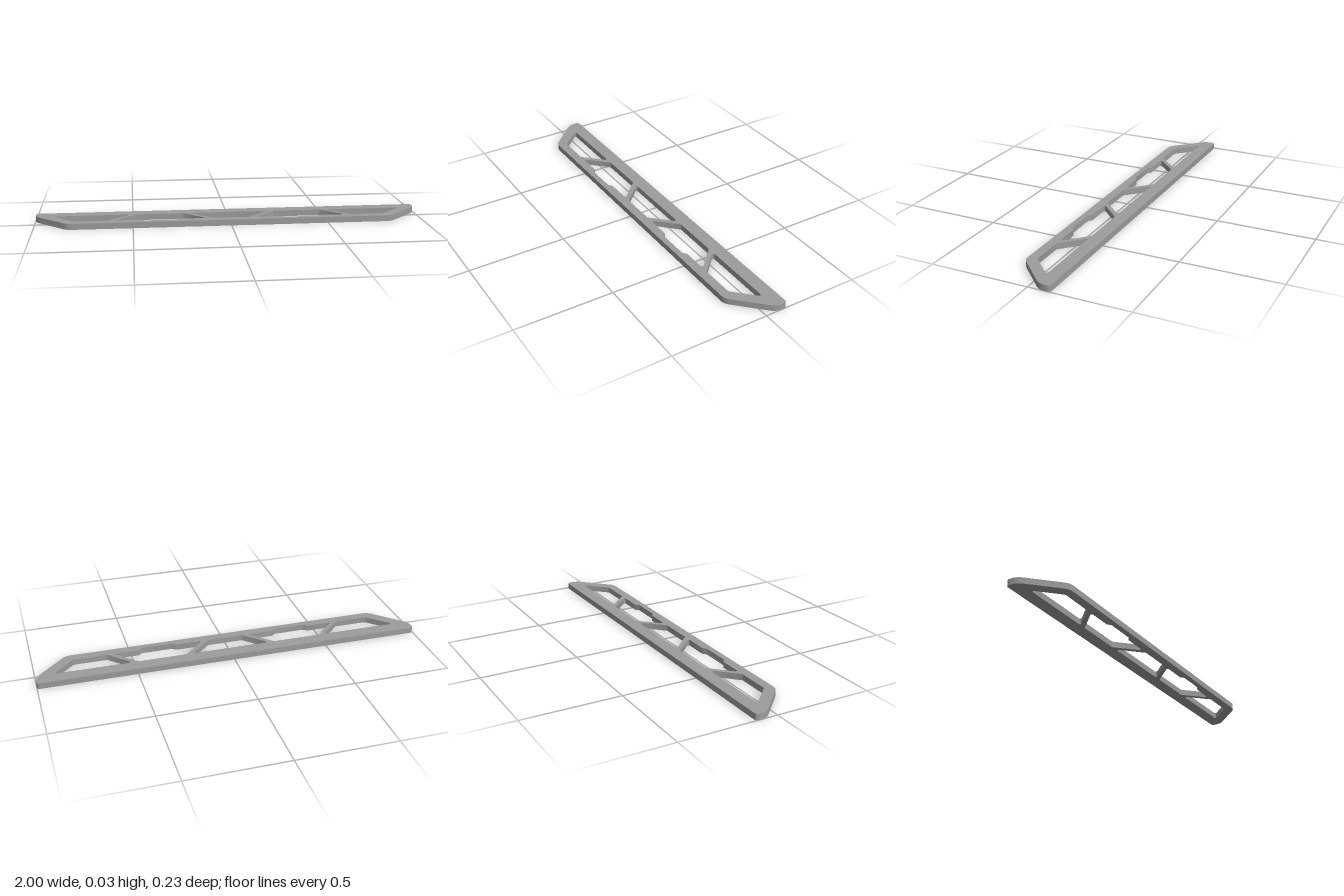
import * as THREE from 'three';
import { toCreasedNormals } from 'three/addons/utils/BufferGeometryUtils.js';

const HEIGHT = 0.031;
const HALF_DEPTH = 0.113;
const BACK = -0.045, FRONT = 0.067, NOTCH = 0.083; // z of the opening edges

// Closed outline with filleted corners; points are [x, z, radius]
function roundedOutline(points, target) {
  const n = points.length;
  const P = points.map(([x, z]) => new THREE.Vector2(x, -z));
  P.forEach((p, i) => {
    const a = P[(i + n - 1) % n].clone().sub(p).normalize();
    const b = P[(i + 1) % n].clone().sub(p).normalize();
    const half = Math.acos(THREE.MathUtils.clamp(a.dot(b), -1, 1)) / 2;
    const r = points[i][2] ?? 0.008;
    const t = r / Math.tan(half);
    const start = p.clone().addScaledVector(a, t);
    const end = p.clone().addScaledVector(b, t);
    const c = p.clone().addScaledVector(a.clone().add(b).normalize(), r / Math.sin(half));
    const a0 = Math.atan2(start.y - c.y, start.x - c.x);
    let sweep = Math.atan2(end.y - c.y, end.x - c.x) - a0;
    sweep = Math.atan2(Math.sin(sweep), Math.cos(sweep));
    for (let k = 0; k <= 6; k++) {
      const ang = a0 + sweep * k / 6;
      const x = c.x + r * Math.cos(ang), y = c.y + r * Math.sin(ang);
      if (i === 0 && k === 0) target.moveTo(x, y);
      else target.lineTo(x, y);
    }
  });
  target.closePath();
  return target;
}

const mirror = pts => pts.map(([x, z, r]) => [-x, z, r]).reverse();

export function createModel() {
  const group = new THREE.Group();

  // Outer trapezoid with blunt ends
  const leftHalf = [[-1, -HALF_DEPTH, 0.015], [-1, -0.056, 0.07], [-0.831, HALF_DEPTH, 0.06]];
  const outline = roundedOutline([...leftHalf, ...mirror(leftHalf)], new THREE.Shape());

  // Openings, leaving thin diagonal struts between them
  const endHole = [[-0.912, BACK], [-0.8, FRONT, 0.02], [-0.627, FRONT], [-0.515, BACK]];
  const notchedHole = [
    [-0.483, BACK], [-0.595, FRONT],
    [-0.462, FRONT, 0.006], [-0.442, NOTCH, 0.006],
    [-0.284, NOTCH, 0.006], [-0.264, FRONT, 0.006],
    [-0.125, FRONT], [-0.237, BACK],
  ];
  const middleHole = [[-0.205, BACK], [-0.093, FRONT], [0.093, FRONT], [0.205, BACK]];
  for (const hole of [endHole, notchedHole, middleHole, mirror(notchedHole), mirror(endHole)]) {
    outline.holes.push(roundedOutline(hole, new THREE.Path()));
  }

  // Flat plate lying on the ground
  const plate = new THREE.ExtrudeGeometry(outline, { depth: HEIGHT, bevelEnabled: false });
  plate.rotateX(-Math.PI / 2);
  const mesh = new THREE.Mesh(
    toCreasedNormals(plate, Math.PI / 6),
    new THREE.MeshStandardMaterial({ color: 0x9c9c9c })
  );
  mesh.name = 'trussFrame';
  group.add(mesh);
  return group;
}
